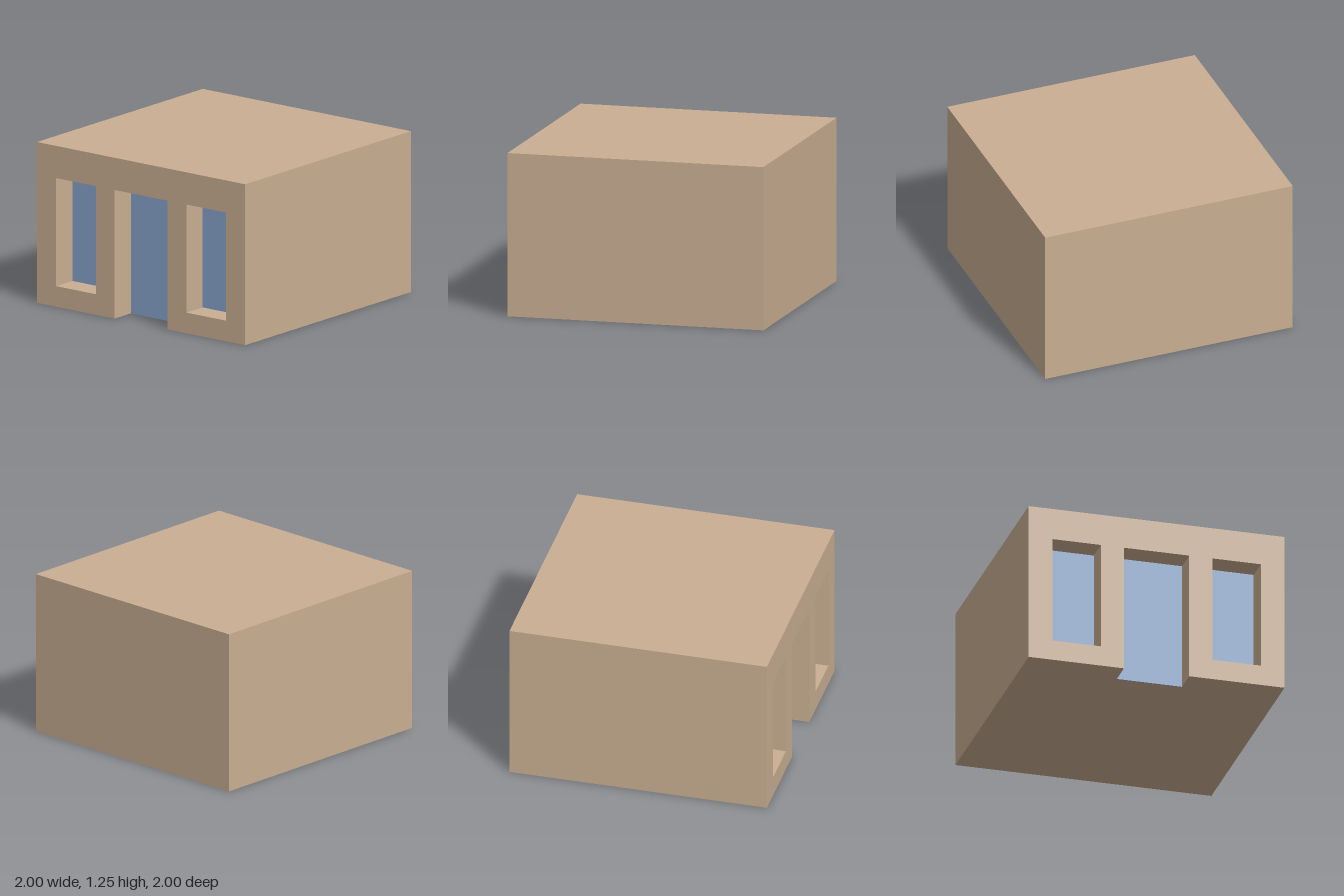
import * as THREE from 'three';

const WIDTH = 2, HEIGHT = 1.25, DEPTH = 2, RECESS = 0.2;
const DOOR = { x: 0, w: 0.51, y0: 0, y1: 1 };
const WINDOW = { x: 0.625, w: 0.38, y0: 0.16, y1: 1 };
const BACK = DEPTH / 2 - RECESS; // depth at which the glass sits

export function createModel() {
  const model = new THREE.Group();
  model.name = 'building';

  const wall = new THREE.MeshStandardMaterial({ color: 0xc9ae92 });
  wall.name = 'tan wall';
  const glass = new THREE.MeshStandardMaterial({ color: 0x86a3cb });
  glass.name = 'blue glass';

  const add = (name, geometry, material, x, y, z) => {
    const mesh = new THREE.Mesh(geometry, material);
    mesh.name = name;
    mesh.position.set(x, y, z);
    model.add(mesh);
  };

  // Solid block behind the facade
  add('mainBlock', new THREE.BoxGeometry(WIDTH, HEIGHT, DEPTH - RECESS), wall, 0, HEIGHT / 2, -RECESS / 2);

  // Facade outline, notched at the ground for the doorway
  const hw = WIDTH / 2, hd = DOOR.w / 2;
  const outline = new THREE.Shape([
    [-hw, 0], [-hd, 0], [-hd, DOOR.y1], [hd, DOOR.y1],
    [hd, 0], [hw, 0], [hw, HEIGHT], [-hw, HEIGHT],
  ].map(([x, y]) => new THREE.Vector2(x, y)));

  // Window openings
  for (const side of [-1, 1]) {
    const x0 = side * WINDOW.x - WINDOW.w / 2, x1 = x0 + WINDOW.w;
    outline.holes.push(new THREE.Path([
      [x0, WINDOW.y0], [x0, WINDOW.y1], [x1, WINDOW.y1], [x1, WINDOW.y0],
    ].map(([x, y]) => new THREE.Vector2(x, y))));
  }
  add('facade', new THREE.ExtrudeGeometry(outline, { depth: RECESS, bevelEnabled: false }), wall, 0, 0, BACK);

  // Recessed door and window panes
  const addPane = (name, o, x) => add(name,
    new THREE.BoxGeometry(o.w, o.y1 - o.y0, 0.004), glass, x, (o.y0 + o.y1) / 2, BACK + 0.002);
  addPane('door', DOOR, 0);
  addPane('leftWindow', WINDOW, WINDOW.x);
  addPane('rightWindow', WINDOW, -WINDOW.x);

  return model;
}
